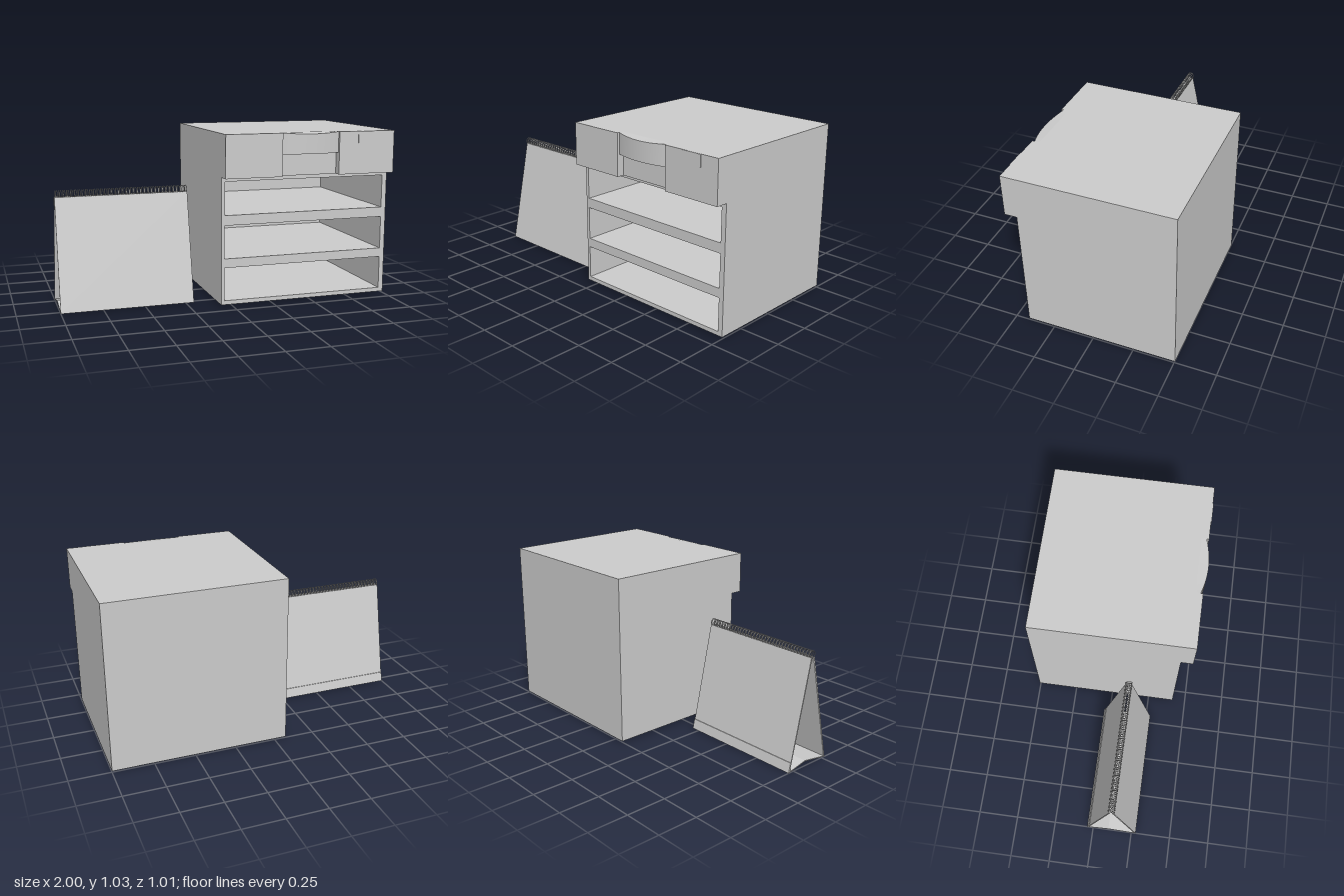
import * as THREE from 'three';

const mat = new THREE.MeshStandardMaterial({ color: 0xcccccc, side: THREE.DoubleSide });

function add(parent, name, geometry) {
  const mesh = new THREE.Mesh(geometry, mat);
  mesh.name = name;
  parent.add(mesh);
  return mesh;
}

function box(parent, name, x0, x1, y0, y1, z0, z1) {
  const g = new THREE.BoxGeometry(x1 - x0, y1 - y0, z1 - z0);
  g.translate((x0 + x1) / 2, (y0 + y1) / 2, (z0 + z1) / 2);
  return add(parent, name, g);
}

const polygon = (points) => new THREE.Shape(points.map(([x, y]) => new THREE.Vector2(x, y)));
const rect = (x0, x1, y0, y1) => polygon([[x0, y0], [x1, y0], [x1, y1], [x0, y1]]);

// Cabinet with three open compartments and an overhanging header
function createCabinet() {
  const cabinet = new THREE.Group();
  cabinet.name = 'cabinet';
  const left = 1, right = -0.07, back = -0.505, front = 0.415;

  // Frame pierced by the compartments, closed by a back panel
  const frame = rect(right, left, 0.01, 0.775);
  for (const y of [0.035, 0.29, 0.55]) frame.holes.push(rect(-0.05, 0.97, y, y + 0.2));
  const frameGeo = new THREE.ExtrudeGeometry(frame, { depth: front + 0.48, bevelEnabled: false });
  add(cabinet, 'compartmentFrame', frameGeo.translate(0, 0, -0.48));
  box(cabinet, 'backPanel', right, left, 0.01, 0.775, back, -0.48);

  // Header: plan outline (x, -z) with a notch in the front, raised along y
  const plan = polygon([
    [right, -0.49], [0.28, -0.49], [0.28, -0.445], [0.64, -0.445],
    [0.64, -0.49], [left, -0.49], [left, -back], [right, -back],
  ]);
  const header = new THREE.ExtrudeGeometry(plan, { depth: 0.255, bevelEnabled: false });
  add(cabinet, 'header', header.rotateX(-Math.PI / 2).translate(0, 0.775, 0));

  // Bowed handle panel in the notch, its top edge dipping toward the front
  const bow = new THREE.BoxGeometry(0.36, 0.125, 0.03, 24, 1, 1);
  const p = bow.attributes.position;
  for (let i = 0; i < p.count; i++) {
    if (p.getZ(i) < 0) continue;
    const bulge = 1 - (p.getX(i) / 0.18) ** 2;
    p.setZ(i, p.getZ(i) + 0.03 * bulge);
    if (p.getY(i) > 0) p.setY(i, p.getY(i) - 0.008 * bulge);
  }
  bow.computeVertexNormals();
  add(cabinet, 'bowedHandle', bow.translate(0.46, 0.9675, 0.46));

  // Small plate on the header
  box(cabinet, 'headerPlate', 0.763, 0.886, 0.96, 1.029, 0.48, 0.494);
  return cabinet;
}

// Standing tent calendar with a wire binding
function createCalendar() {
  const calendar = new THREE.Group();
  calendar.name = 'deskCalendar';

  // Sheet drawn as a (z, y) outline and extended along x
  const sheet = (name, points) => {
    const g = new THREE.ExtrudeGeometry(polygon(points), { depth: 0.8, bevelEnabled: false });
    add(calendar, name, g.rotateY(-Math.PI / 2).translate(-0.2, 0, 0));
  };
  sheet('frontSheet', [[0.27, 0], [0.278, 0], [0.135, 0.66], [0.125, 0.66]]);
  sheet('backSheet', [[-0.036, 0], [-0.029, 0], [0.115, 0.66], [0.107, 0.66]]);
  sheet('foldedBase', [[-0.034, 0], [0.1, 0.028], [0.276, 0], [0.276, 0.005], [0.1, 0.033], [-0.034, 0.005]]);
  sheet('glueStrip', [[-0.04, 0], [-0.034, 0], [-0.02, 0.06], [-0.027, 0.06]]);

  // Paired wire loops along the top edge
  const loop = new THREE.TorusGeometry(0.021, 0.0022, 5, 14).rotateY(Math.PI / 2);
  const binding = new THREE.Group();
  binding.name = 'wireBinding';
  const pairs = 36;
  for (let i = 0; i < pairs; i++) {
    for (const side of [-1, 1]) {
      const wire = add(binding, 'wireLoop', loop);
      wire.position.set(-1 + 0.8 * (i + 0.5) / pairs + side * 0.0045, 0.676, 0.121);
      wire.rotation.y = side * 0.12;
    }
  }
  calendar.add(binding);
  return calendar;
}

export function createModel() {
  const model = new THREE.Group();
  model.name = 'cabinetAndCalendar';
  model.add(createCabinet(), createCalendar());
  return model;
}
